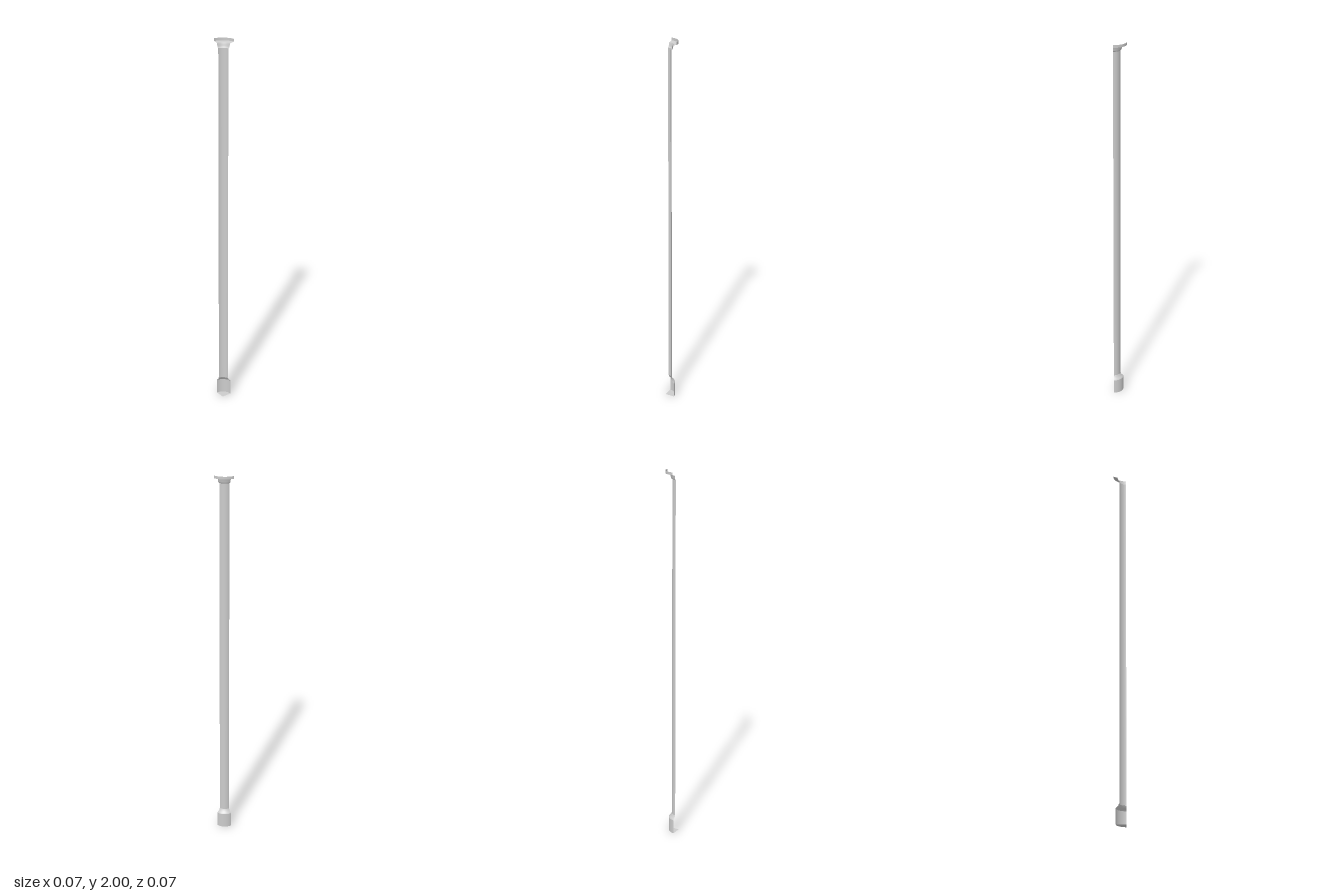
import * as THREE from 'three';

// Quarter-round pipe: every part is a quarter lathe about one vertical axis.
export function createModel() {
  const group = new THREE.Group();
  group.name = 'quarterColumn';
  const material = new THREE.MeshStandardMaterial({ color: 0xcccccc, side: THREE.DoubleSide });

  function quarter(name, profile) {
    const points = profile.map(([r, y]) => new THREE.Vector2(r, y));
    const mesh = new THREE.Mesh(new THREE.LatheGeometry(points, 16, Math.PI / 2, Math.PI / 2), material);
    mesh.name = name;
    mesh.position.set(-0.0345, 0, 0.0345);
    group.add(mesh);
  }

  // Foot: flat bottom, straight wall and sloped shoulder
  quarter('footBottom', [[0, 0], [0.053, 0]]);
  quarter('footWall', [[0.053, 0], [0.053, 0.08]]);
  quarter('footShoulder', [[0.053, 0.08], [0.049, 0.087], [0.041, 0.092], [0.038, 0.102], [0.0355, 0.103]]);

  // Long shaft
  quarter('shaft', [[0.0355, 0.103], [0.0355, 1.957]]);

  // Rounded collar under the flange
  quarter('collar', [[0.0355, 1.957], [0.04, 1.959], [0.043, 1.965], [0.044, 1.974], [0.047, 1.981]]);

  // Wide open flange at the top
  quarter('flangeUnderside', [[0.047, 1.981], [0.069, 1.986]]);
  quarter('flangeRim', [[0.069, 1.986], [0.069, 2]]);

  return group;
}
